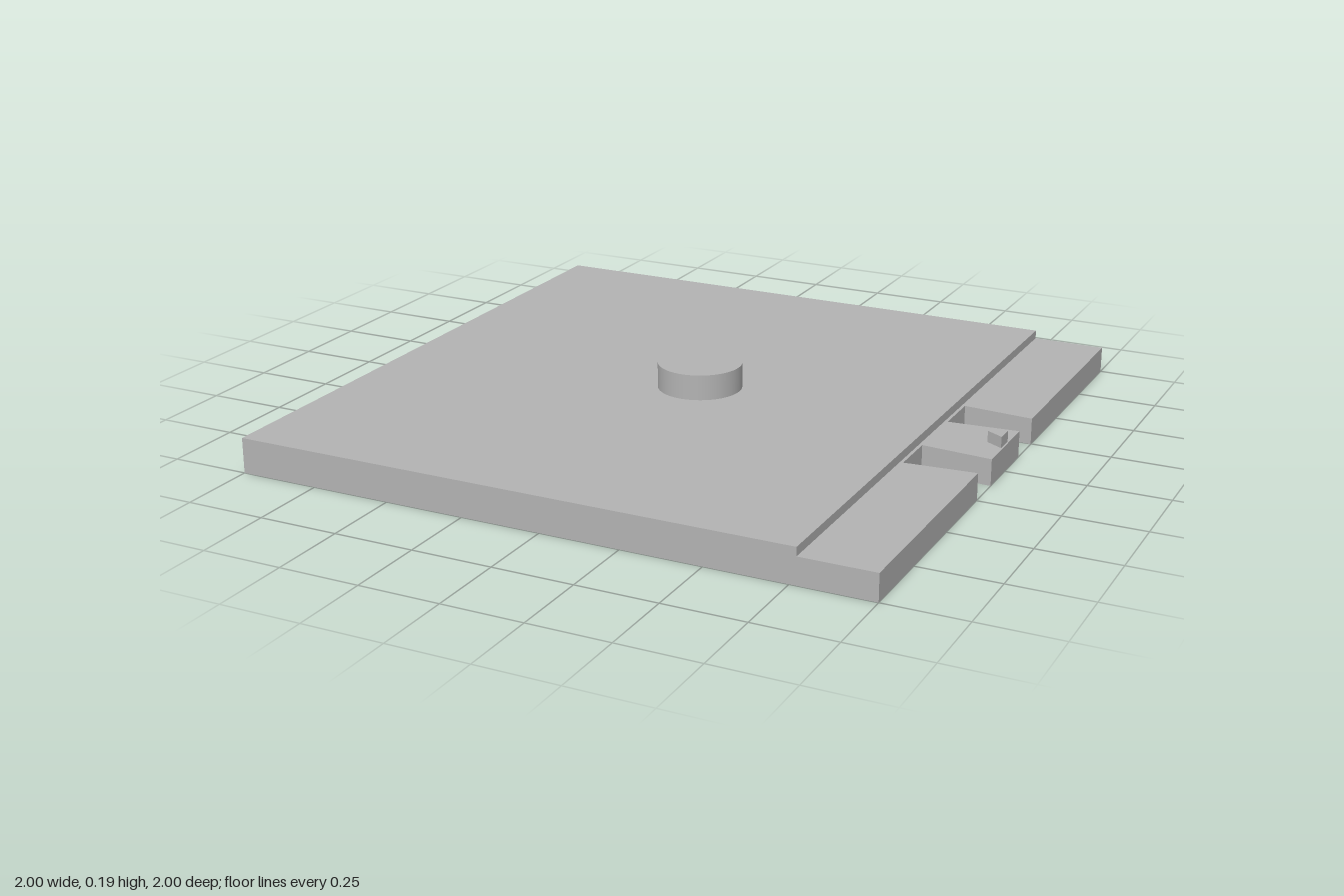
import * as THREE from 'three';

const grey = new THREE.MeshStandardMaterial({ color: 0xb3b3b3 });
grey.name = 'plain grey';

const BASE_TOP = 0.083, PLATE_TOP = 0.11, POCKET_DEPTH = 0.055;

const toPoints = (list) => list.map(([x, z]) => new THREE.Vector2(x, -z));

// Upright prism: an outline in x and z raised from y0 to y1
function prism(name, outline, y0, y1, holes = []) {
  const shape = new THREE.Shape(toPoints(outline));
  for (const hole of holes) shape.holes.push(new THREE.Path(toPoints(hole)));
  const geometry = new THREE.ExtrudeGeometry(shape, { depth: y1 - y0, bevelEnabled: false });
  geometry.rotateX(-Math.PI / 2).translate(0, y0, 0);
  const mesh = new THREE.Mesh(geometry, grey);
  mesh.name = name;
  return mesh;
}

function square(cx, cz, half) {
  return [[cx - half, cz - half], [cx + half, cz - half], [cx + half, cz + half], [cx - half, cz + half]];
}

export function createModel() {
  const model = new THREE.Group();
  model.name = 'slottedPlate';

  // Base outline with two tapered slots either side of a flared tongue
  const halfEdge = [[1, 0.127], [0.78, 0.109], [0.78, 0.264], [1, 0.246], [1, 1], [-1, 1]];
  const mirrored = halfEdge.map(([x, z]) => [x, -z]).reverse();
  const outline = [...halfEdge, ...mirrored];

  // Four square pockets open to the underside
  const pockets = [];
  for (const x of [-0.445, 0.445]) for (const z of [-0.445, 0.445]) pockets.push(square(x, z, 0.195));

  model.add(prism('pocketedBase', outline, 0, POCKET_DEPTH, pockets));
  model.add(prism('slottedFlange', outline, POCKET_DEPTH, BASE_TOP));

  // Raised plate stopping short of the slotted edge
  model.add(prism('raisedPlate', [[-1, -1], [0.77, -1], [0.77, 1], [-1, 1]], BASE_TOP, PLATE_TOP));

  // Triangular pointer on the tongue
  model.add(prism('pointer', [[0.943, 0], [0.995, -0.03], [0.995, 0.03]], BASE_TOP, 0.118));

  // Round central stud
  const stud = new THREE.Mesh(new THREE.CylinderGeometry(0.132, 0.132, 0.08, 64), grey);
  stud.name = 'centreStud';
  stud.position.y = PLATE_TOP + 0.04;
  model.add(stud);

  return model;
}
